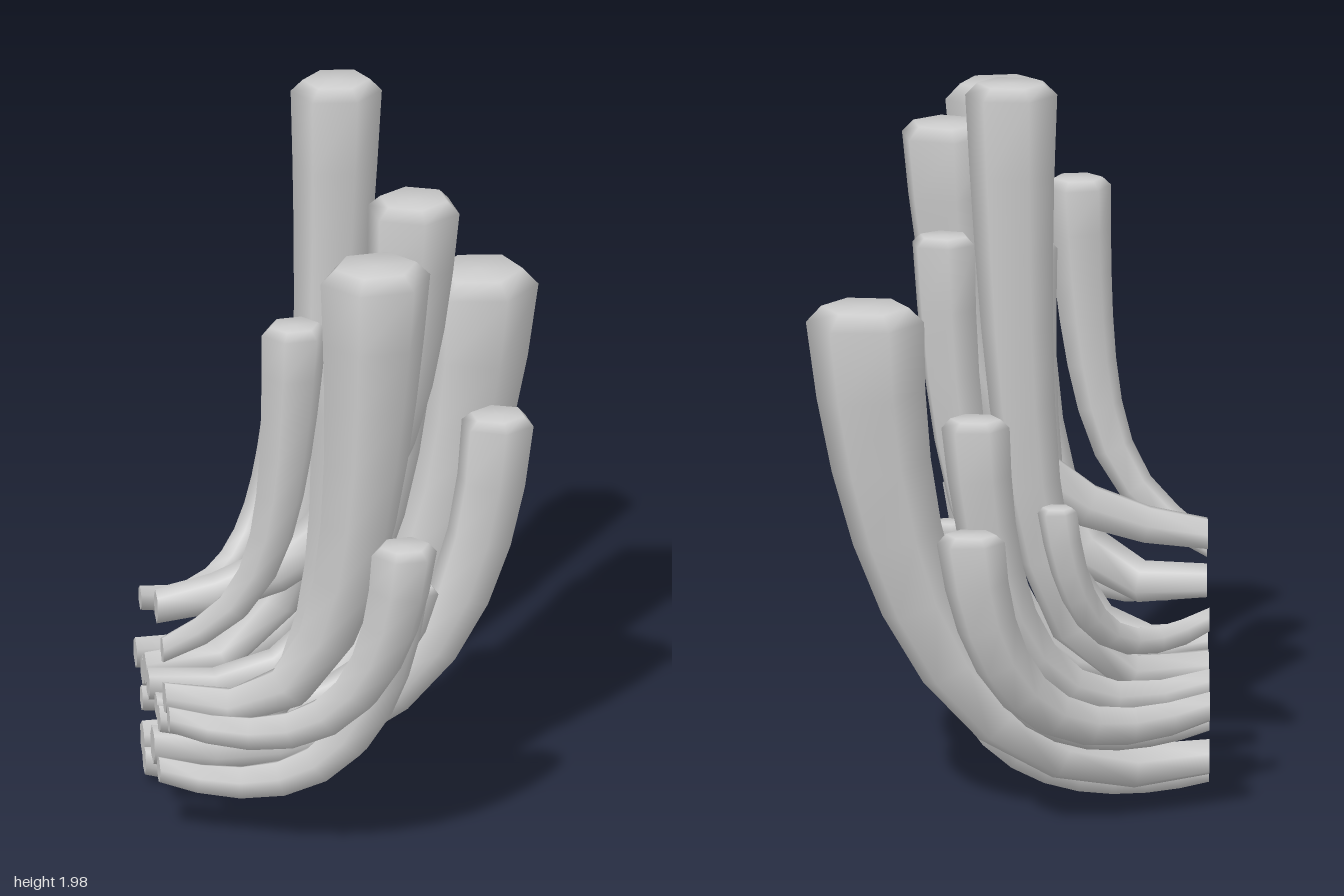
import * as THREE from 'three';

const SIDES = 6, STEPS = 9, BASE_X = -0.535;

// Each stalk: base [y, z, radius], tip [x, y, z], tip half-widths [x, z],
// and, for unusual bends, its own reach or sag
const STALKS = [
  { base: [0.48, 0.32, 0.045], tip: [0.005, 1.8, 0.49], size: [0.148, 0.107] },
  { base: [0.595, 0.27, 0.036], tip: [-0.195, 1.575, 0.36], size: [0.088, 0.064], reach: 0.75, sag: -0.14 },
  { base: [0.36, 0.2, 0.04], tip: [-0.025, 1.44, 0.245], size: [0.115, 0.083] },
  { base: [0.66, 0.14, 0.045], tip: [0.155, 1.8, 0.105], size: [0.117, 0.101], sag: -0.06 },
  { base: [0.35, -0.03, 0.042], tip: [0.165, 1.54, -0.072], size: [0.082, 0.065] },
  { base: [0.36, -0.1, 0.045], tip: [-0.01, 2.0, -0.225], size: [0.12, 0.082] },
  { base: [0.13, -0.15, 0.05], tip: [0.375, 1.4, -0.265], size: [0.156, 0.12], reach: 0.6 },
  { base: [0.22, 0.07, 0.052], tip: [0.385, 1.125, 0.05], size: [0.092, 0.077], reach: 0.65 },
  { base: [0.46, 0.41, 0.038], tip: [0.07, 1.02, 0.585], size: [0.088, 0.066] },
  { base: [0.21, 0.2, 0.038], tip: [0.08, 0.77, 0.35], size: [0.082, 0.064] },
  { base: [0.37, 0.14, 0.035], tip: [0.15, 0.69, 0.16], size: [0.062, 0.045] },
  { base: [0.09, -0.11, 0.042], tip: [0.095, 0.36, -0.085], size: [0.072, 0.062] },
  { base: [0.24, -0.17, 0.035], tip: [0.03, 0.53, -0.365], size: [0.06, 0.05] },
  { base: [0.52, -0.2, 0.034], tip: [-0.13, 0.9, -0.45], size: [0.052, 0.042] },
  { base: [0.31, -0.3, 0.042], tip: [0.1, 0.865, -0.585], size: [0.09, 0.064] },
  { base: [0.33, -0.15, 0.042], tip: [0.085, 1.125, -0.385], size: [0.09, 0.066] },
];

// Bent spine: runs outward from the base, then turns upward; tall stalks bend more sharply
function spine({ base: [y, z], tip: [tx, ty, tz], reach, sag }, top) {
  const lerp = THREE.MathUtils.lerp;
  const bend = reach ?? 0.62 + 0.08 * (ty - y) / (tx - BASE_X);
  const drop = sag ?? (ty > 0.6 ? 0.12 : 0.09);
  return new THREE.CubicBezierCurve3(
    new THREE.Vector3(BASE_X, y, z),
    new THREE.Vector3(lerp(BASE_X, tx, bend), y - drop, lerp(z, tz, bend * 0.85)),
    new THREE.Vector3(tx - (1 - bend) * 0.12, lerp(y, ty, 0.26), lerp(z, tz, 1.05)),
    new THREE.Vector3(tx, top, tz));
}

// Turn of the hexagon in degrees: most in the middle row, slight at front and back
function hexTurn([x, , z]) {
  if (Math.abs(z) < 0.2) return x > 0.09 ? 22 : 0;
  return z > 0 ? -8 : 7;
}

function stalkGeometry(stalk) {
  const r0 = stalk.base[2];
  const angles = Array.from({ length: SIDES }, (_, j) =>
    THREE.MathUtils.degToRad(hexTurn(stalk.tip) + (j * 360) / SIDES));
  // Radii that give the turned hexagon the wanted half-widths
  const rx = stalk.size[0] / Math.max(...angles.map(Math.cos));
  const rz = stalk.size[1] / Math.max(...angles.map(Math.sin));
  const curve = spine(stalk, stalk.tip[1] - stalk.size[0] * 0.27);
  const pos = [], index = [];

  const ring = (p, t, a, b) => {
    const n = new THREE.Vector3().crossVectors(t, new THREE.Vector3(0, 0, 1)).normalize();
    const w = new THREE.Vector3().crossVectors(n, t).normalize();
    for (const ang of angles) {
      const v = p.clone().addScaledVector(n, a * Math.cos(ang)).addScaledVector(w, b * Math.sin(ang));
      pos.push(v.x, v.y, v.z);
    }
  };

  // Body widening evenly along its length
  for (let i = 0; i <= STEPS; i++) {
    const u = i / STEPS;
    const t = i === 0 ? new THREE.Vector3(1, 0, 0) : curve.getTangentAt(u);
    if (i === STEPS) t.set(t.x * 0.4, t.y, t.z * 0.4).normalize();
    ring(curve.getPointAt(u), t, r0 + (rx - r0) * u, r0 + (rz - r0) * u);
  }
  // Bevelled tip
  ring(new THREE.Vector3(...stalk.tip), new THREE.Vector3(0, 1, 0), rx * 0.74, rz * 0.74);
  for (let i = 0; i <= STEPS; i++) {
    for (let j = 0; j < SIDES; j++) {
      const a = i * SIDES + j, b = i * SIDES + (j + 1) % SIDES;
      index.push(a, a + SIDES, b, b, a + SIDES, b + SIDES);
    }
  }
  const last = (STEPS + 1) * SIDES, centre = pos.length / 3;
  pos.push(...stalk.tip);
  for (let j = 0; j < SIDES; j++) index.push(last + j, centre, last + (j + 1) % SIDES);

  // Flat cut at the base, with its own corners for a crisp edge
  const cut = pos.length / 3;
  pos.push(...pos.slice(0, SIDES * 3));
  for (let j = 1; j < SIDES - 1; j++) index.push(cut, cut + j, cut + j + 1);

  const g = new THREE.BufferGeometry();
  g.setAttribute('position', new THREE.Float32BufferAttribute(pos, 3));
  g.setIndex(index);
  g.computeVertexNormals();
  return g;
}

export function createModel() {
  const group = new THREE.Group();
  group.name = 'stalkCluster';
  const material = new THREE.MeshStandardMaterial({ color: 0xcccccc });
  STALKS.forEach((stalk, i) => {
    const mesh = new THREE.Mesh(stalkGeometry(stalk), material);
    mesh.name = `stalk${i + 1}`;
    group.add(mesh);
  });
  return group;
}
